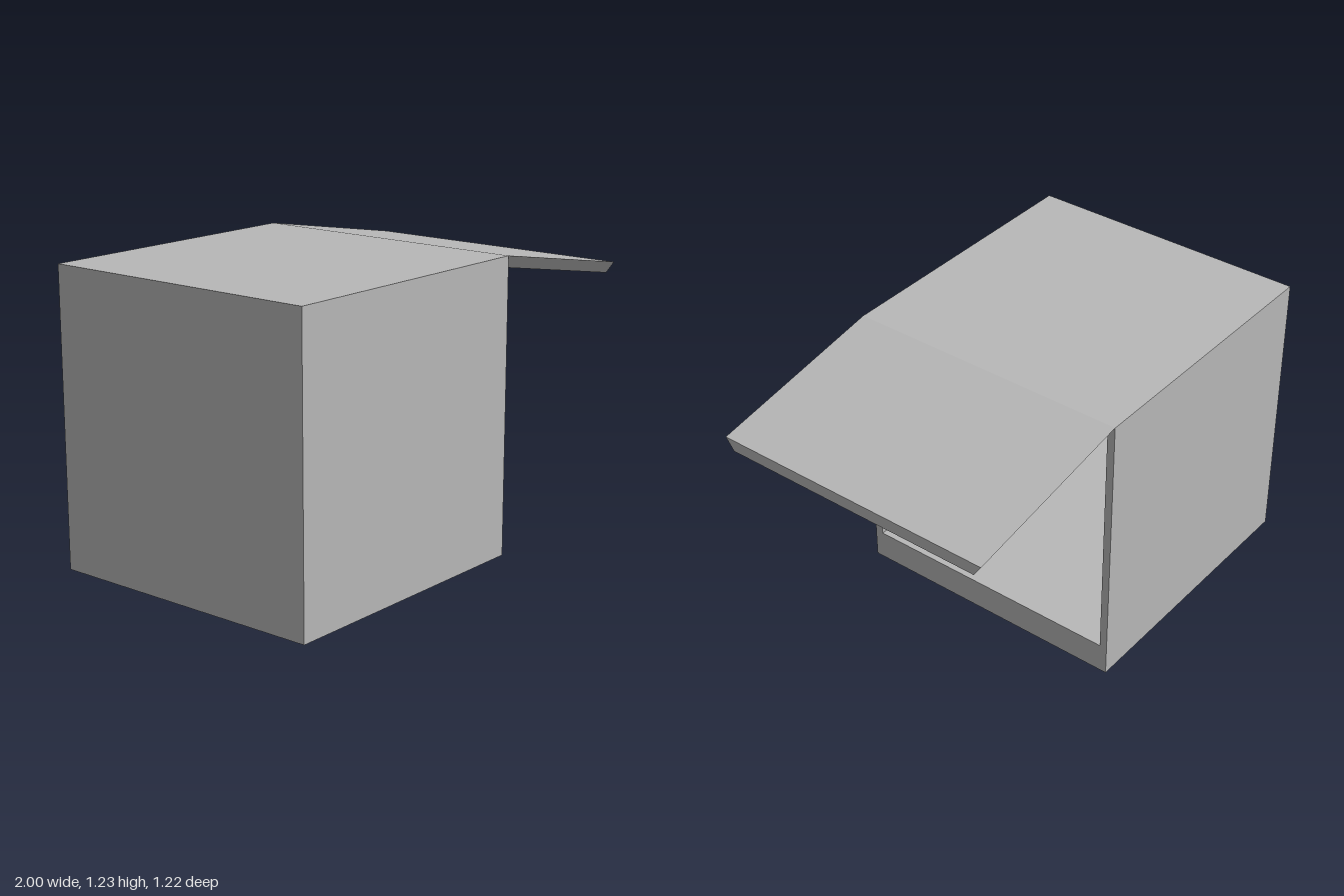
import * as THREE from 'three';

// Four corners around the x axis; the lower and upper edges may differ in width
function section(x, yLow, yHigh, low, high = low) {
  return [
    [x, yLow, low[0]], [x, yLow, low[1]],
    [x, yHigh, high[1]], [x, yHigh, high[0]],
  ];
}

// Joins successive sections with flat faces; sides lists which edges to build
function loft(sections, sides = [0, 1, 2, 3], startCap = false, endCap = false) {
  const positions = [];
  const quad = (a, b, c, d) => positions.push(...a, ...b, ...c, ...a, ...c, ...d);
  for (let s = 0; s < sections.length - 1; s++) {
    const a = sections[s], b = sections[s + 1];
    for (const i of sides) {
      const j = (i + 1) % 4;
      quad(a[i], b[i], b[j], a[j]);
    }
  }
  if (startCap) quad(...sections[0]);
  if (endCap) quad(...[...sections[sections.length - 1]].reverse());
  const geometry = new THREE.BufferGeometry();
  geometry.setAttribute('position', new THREE.Float32BufferAttribute(positions, 3));
  geometry.computeVertexNormals();
  return geometry;
}

export function createModel() {
  const group = new THREE.Group();
  const grey = new THREE.MeshStandardMaterial({ color: 0xb8b8b8 });
  grey.name = 'plain grey';

  const back = -1, mouth = 0.22, tip = 1;
  const height = 1.225, floorY = 0.13, ceilingY = 1.175, drop = 0.137;
  const outerZ = [-0.61, 0.61], innerZ = [-0.577, 0.573];

  const add = (name, geometry) => {
    const mesh = new THREE.Mesh(geometry, grey);
    mesh.name = name;
    group.add(mesh);
  };

  const outerMouth = section(mouth, 0, height, outerZ);
  const innerMouth = section(mouth, floorY, ceilingY, innerZ);

  // Outside of the box, closed at the back
  add('outerShell', loft([section(back, 0, height, outerZ), outerMouth], [0, 1, 2, 3], true));

  // Sill and jambs around the opening; the awning takes the top edge
  add('openingFrame', loft([outerMouth, innerMouth], [0, 1, 3]));

  // Inside of the box
  add('interior', loft([innerMouth, section(back + 0.04, floorY, ceilingY, innerZ)], [0, 1, 2, 3], false, true));

  // Sloping awning with bevelled sides
  add('awning', loft([
    section(mouth, ceilingY, height, innerZ, outerZ),
    section(tip, ceilingY - drop, height - drop, innerZ, outerZ),
  ], [0, 1, 2, 3], false, true));

  return group;
}
